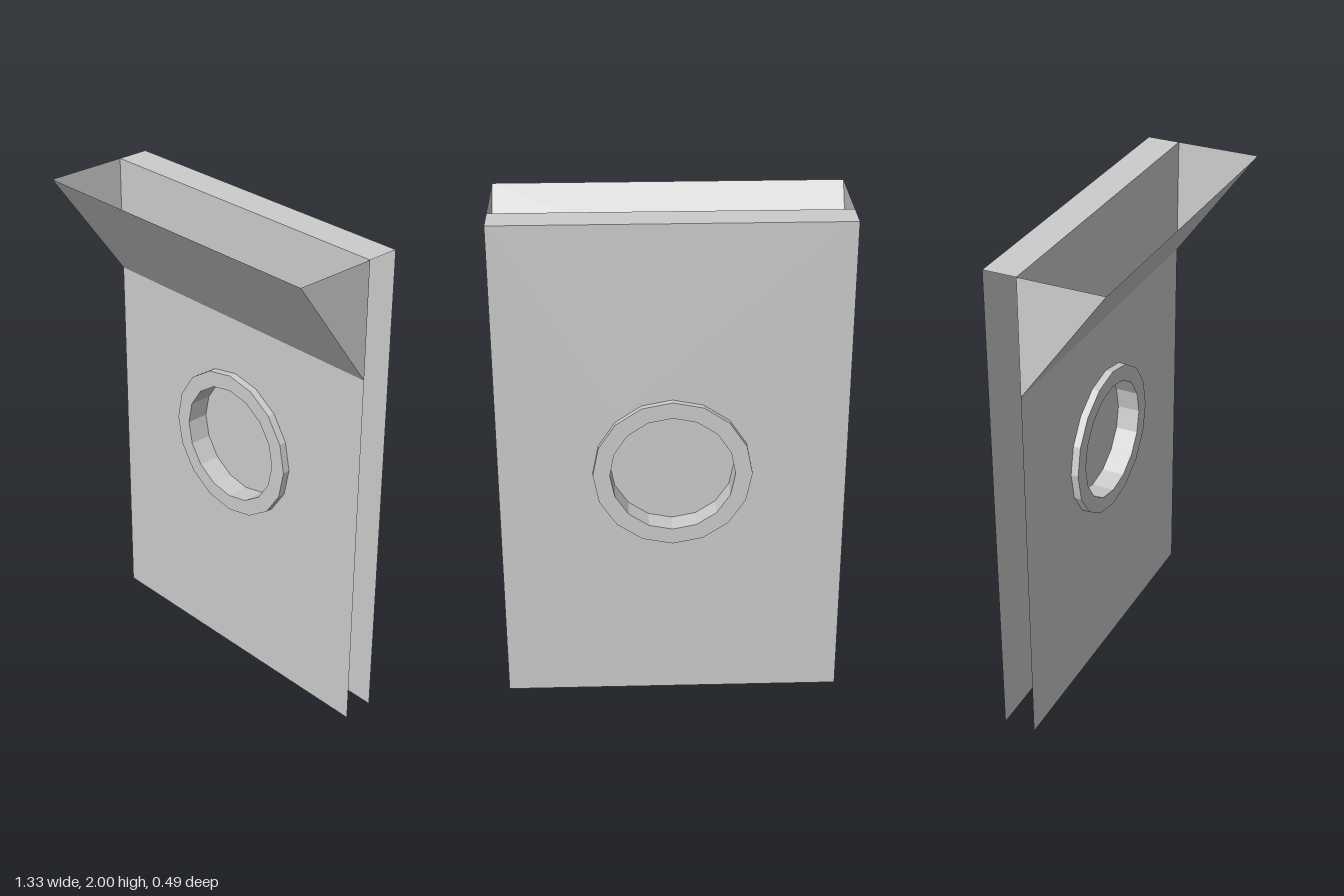
import * as THREE from 'three';

const W = 1.333, H = 2, FRONT = -0.09, BACK = -0.22;
const RING_Y = 1, OUTER = 0.305, INNER = 0.24, RING_FRONT = -0.06, RING_BACK = -0.245, SIDES = 16;

// Regular polygon with a corner at the top
function polygon(shape, radius, cx, cy) {
  const pts = [];
  for (let i = 0; i < SIDES; i++) {
    const a = (i / SIDES) * Math.PI * 2;
    pts.push(new THREE.Vector2(cx + Math.cos(a) * radius, cy + Math.sin(a) * radius));
  }
  return shape.setFromPoints(pts);
}

export function createModel() {
  const group = new THREE.Group();
  const grey = new THREE.MeshStandardMaterial({ color: 0xcccccc, side: THREE.DoubleSide, flatShading: true });
  grey.name = 'plain grey';

  const add = (name, geometry, x = 0, y = 0, z = 0) => {
    const mesh = new THREE.Mesh(geometry, grey);
    mesh.name = name;
    mesh.position.set(x, y, z);
    group.add(mesh);
    return mesh;
  };

  // Thin door faces, each with a porthole opening
  const face = new THREE.Shape([
    new THREE.Vector2(-W / 2, 0), new THREE.Vector2(W / 2, 0),
    new THREE.Vector2(W / 2, H), new THREE.Vector2(-W / 2, H),
  ]);
  face.holes.push(polygon(new THREE.Path(), OUTER, 0, RING_Y));
  const faceGeometry = new THREE.ShapeGeometry(face);
  add('frontPanel', faceGeometry, 0, 0, FRONT);
  add('backPanel', faceGeometry.clone().rotateY(Math.PI), 0, 0, BACK);

  // Strip closing the top between the two faces
  add('topStrip', new THREE.PlaneGeometry(W, FRONT - BACK).rotateX(-Math.PI / 2), 0, H, (FRONT + BACK) / 2);

  // Porthole ring running through both faces
  const ring = polygon(new THREE.Shape(), OUTER, 0, 0);
  ring.holes.push(polygon(new THREE.Path(), INNER, 0, 0));
  add('portholeRing', new THREE.ExtrudeGeometry(ring, { depth: RING_FRONT - RING_BACK, bevelEnabled: false }),
    0, RING_Y, RING_BACK);

  // Pane halfway through the ring
  add('portholePane', new THREE.ShapeGeometry(polygon(new THREE.Shape(), INNER, 0, 0)),
    0, RING_Y, (RING_FRONT + RING_BACK) / 2);

  // Open-topped sloping tray: a slanted front and two triangular cheeks
  const trayDepth = 0.245 - FRONT, trayBottom = 1.535, trayHeight = H - trayBottom;
  add('trayFront', new THREE.PlaneGeometry(W, Math.hypot(trayDepth, trayHeight))
    .rotateX(Math.atan2(trayDepth, trayHeight)), 0, (H + trayBottom) / 2, FRONT + trayDepth / 2);
  const cheek = new THREE.ShapeGeometry(new THREE.Shape([
    new THREE.Vector2(0, 0), new THREE.Vector2(0, trayHeight), new THREE.Vector2(-trayDepth, trayHeight),
  ])).rotateY(Math.PI / 2);
  for (const [name, side] of [['leftTrayCheek', 1], ['rightTrayCheek', -1]]) {
    add(name, cheek, side * W / 2, trayBottom, FRONT);
  }
  return group;
}
